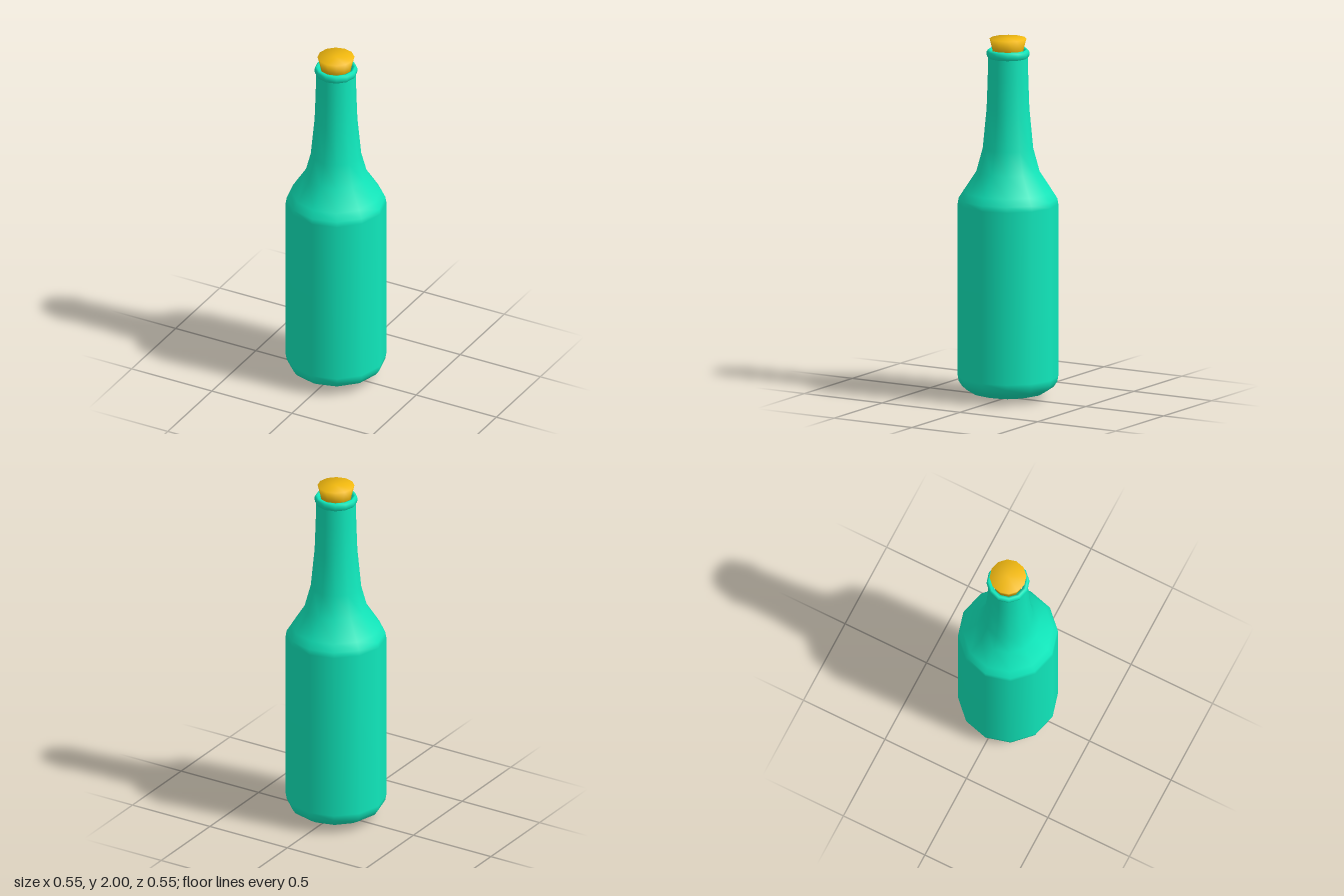
import * as THREE from 'three';

const SIDES = 12;

// Revolve a bottom-to-top [radius, height] profile around the y axis
function turned(name, profile, color) {
  const points = profile.map(([r, y]) => new THREE.Vector2(r, y));
  const mesh = new THREE.Mesh(
    new THREE.LatheGeometry(points, SIDES),
    new THREE.MeshStandardMaterial({ color })
  );
  mesh.name = name;
  return mesh;
}

export function createModel() {
  const group = new THREE.Group();
  group.name = 'bottle';

  // Glass: domed base, straight body, shoulder, tapering neck
  group.add(turned('glassBody', [
    [0, 0], [0.11, 0.01], [0.2, 0.03], [0.25, 0.06], [0.27, 0.09], [0.275, 0.12],
    [0.275, 1.08], [0.27, 1.11], [0.245, 1.15], [0.173, 1.26],
    [0.138, 1.39], [0.117, 1.61], [0.111, 1.78], [0.109, 1.9]
  ], 0x10e8bc));

  // Rounded lip around the mouth, turning inwards
  group.add(turned('lip', [
    [0.106, 1.89], [0.115, 1.9], [0.118, 1.915], [0.116, 1.93],
    [0.107, 1.94], [0.093, 1.935], [0.085, 1.91], [0.083, 1.85]
  ], 0x10e8bc));

  // Tapered cork, wider at the top
  group.add(turned('cork', [
    [0, 1.86], [0.07, 1.86], [0.086, 1.94], [0.101, 2], [0, 2]
  ], 0xf2b90f));

  return group;
}
